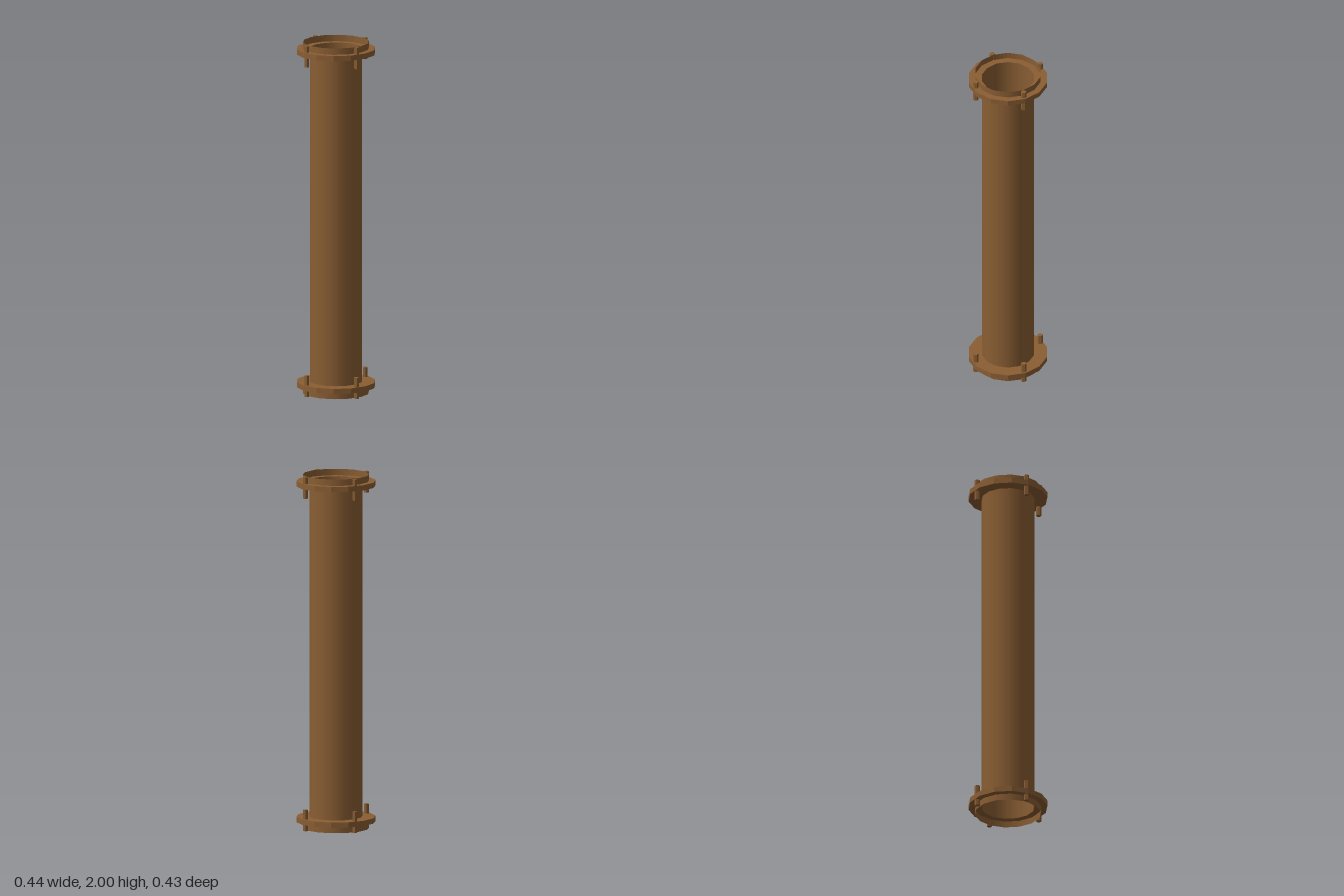
import * as THREE from 'three';

const SIDES = 14;
const material = new THREE.MeshStandardMaterial({ color: 0x8a5e33, side: THREE.DoubleSide });
const flatMaterial = material.clone();
flatMaterial.flatShading = true;

// Revolves [radius, height] points; a polygon corner sits on the x axis
function revolve(name, points, mat) {
  const geometry = new THREE.LatheGeometry(points.map(([r, y]) => new THREE.Vector2(r, y)), SIDES);
  geometry.rotateY(Math.PI / 2);
  const mesh = new THREE.Mesh(geometry, mat);
  mesh.name = name;
  return mesh;
}

// End fitting built at the bottom of the pipe, opening downwards
function createEnd(name) {
  const end = new THREE.Group();
  end.name = name;

  // Flange plate around the pipe
  end.add(revolve('flange', [
    [0.148, 0.036], [0.222, 0.036], [0.222, 0.066], [0.148, 0.066],
  ], flatMaterial));

  // Thin collar standing out from the flange
  end.add(revolve('collar', [[0.186, 0], [0.186, 0.036]], material));

  // Four hexagonal bolts through the flange
  for (let i = 0; i < 4; i++) {
    const angle = (i * Math.PI) / 2;
    const bolt = new THREE.Mesh(new THREE.CylinderGeometry(0.015, 0.015, 0.12, 6), flatMaterial);
    bolt.geometry.rotateY(Math.PI / 2);
    bolt.name = 'bolt';
    bolt.position.set(0.2 * Math.cos(angle), 0.06, 0.2 * Math.sin(angle));
    end.add(bolt);
  }
  return end;
}

export function createModel() {
  const model = new THREE.Group();
  model.name = 'flangedPipe';

  // Open pipe between the two flanges
  model.add(revolve('pipe', [[0.148, 0.036], [0.148, 1.964]], material));

  const bottom = createEnd('bottomEnd');
  const top = createEnd('topEnd');
  top.rotation.x = Math.PI;
  top.position.y = 2;
  model.add(bottom, top);
  return model;
}
